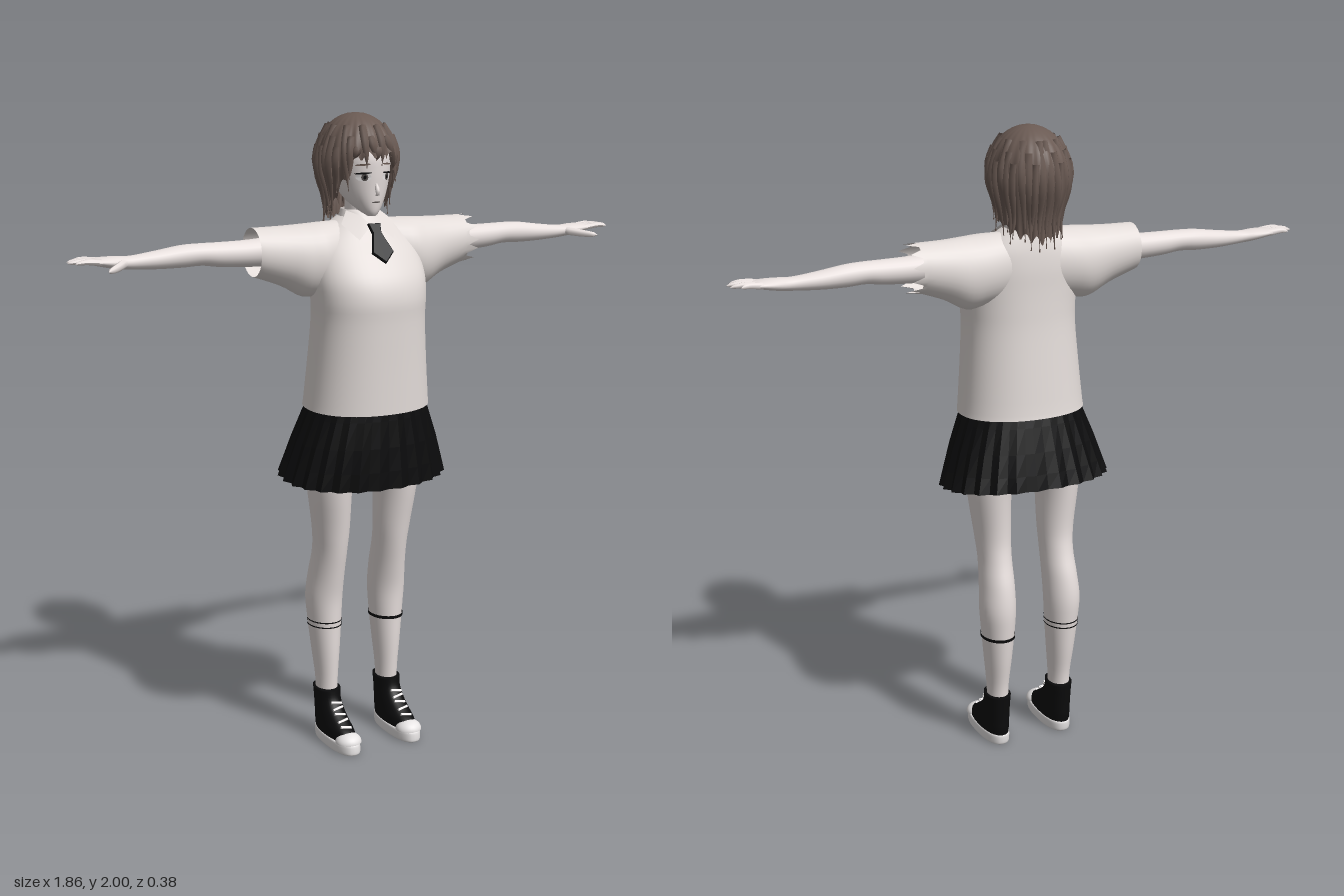
import * as THREE from 'three';

const mat = (name, color, side = THREE.FrontSide) => {
  const m = new THREE.MeshStandardMaterial({ color, side });
  m.name = name;
  return m;
};
const skin = mat('skin', 0xe6dedc);
const cloth = mat('shirt cloth', 0xe2dbd8, THREE.DoubleSide);
const hairMat = mat('brown hair', 0x6a5a53, THREE.DoubleSide);
const black = mat('black cloth', 0x0b0b0c, THREE.DoubleSide);
const white = mat('white', 0xf0eded, THREE.DoubleSide);
const grey = mat('iris grey', 0x5c5654);

// Smooth interpolation through section rows, t in 0..1
function sample(rows, t) {
  const f = t * (rows.length - 1), i = Math.min(Math.floor(f), rows.length - 2), u = f - i;
  const at = k => rows[Math.max(0, Math.min(rows.length - 1, k))];
  const [a, b, c, d] = [at(i - 1), at(i), at(i + 1), at(i + 2)];
  return b.map((_, k) => 0.5 * (2 * b[k] + (c[k] - a[k]) * u
    + (2 * a[k] - 5 * b[k] + 4 * c[k] - d[k]) * u * u
    + (3 * b[k] - a[k] - 3 * c[k] + d[k]) * u * u * u));
}

// Skin over oval sections [position along axis, centre, half width, front z, back z]
function loft(rows, { axis = 'y', side = 1, n = 32, sub = 4, p = 2, cap = true, mod } = {}) {
  const steps = (rows.length - 1) * sub, pos = [], idx = [];
  const pw = v => Math.sign(v) * Math.pow(Math.abs(v), 2 / p);
  const flip = (axis === 'x') !== (side < 0);
  const tri = (a, b, c) => (flip ? idx.push(a, c, b) : idx.push(a, b, c));
  for (let i = 0; i <= steps; i++) {
    const [t, c, r, zf, zb] = sample(rows, i / steps);
    for (let j = 0; j < n; j++) {
      const a = j / n * Math.PI * 2, u = c + r * pw(Math.sin(a));
      const z = (zf + zb) / 2 + (zf - zb) / 2 * pw(Math.cos(a));
      const v = axis === 'y' ? new THREE.Vector3(u, t, z) : new THREE.Vector3(t, u, z);
      if (mod) mod(v, j, i / steps);
      pos.push(v.x * side, v.y, v.z);
    }
  }
  for (let i = 0; i < steps; i++) for (let j = 0; j < n; j++) {
    const k = (j + 1) % n, a = i * n + j, b = i * n + k;
    tri(a, b, b + n); tri(a, b + n, a + n);
  }
  if (cap) for (const [row, i] of [[rows[0], 0], [rows[rows.length - 1], steps]]) {
    const c = pos.length / 3, z = (row[3] + row[4]) / 2;
    if (axis === 'y') pos.push(row[1] * side, row[0], z); else pos.push(row[0] * side, row[1], z);
    for (let j = 0; j < n; j++) {
      const a = i * n + j, b = i * n + (j + 1) % n;
      if (i) tri(a, b, c); else tri(b, a, c);
    }
  }
  return surface(pos, idx);
}
function surface(pos, idx) {
  const g = new THREE.BufferGeometry();
  g.setAttribute('position', new THREE.Float32BufferAttribute(pos, 3));
  g.setIndex(idx);
  g.computeVertexNormals();
  return g;
}

// Tube whose radius follows f(t)
function strand(points, r, f, seg = 8, sides = 7) {
  const curve = new THREE.CatmullRomCurve3(points.map(q => new THREE.Vector3(...q)));
  const g = new THREE.TubeGeometry(curve, seg, r, sides), P = g.attributes.position, v = new THREE.Vector3();
  for (let i = 0; i < P.count; i++) {
    const t = Math.floor(i / (sides + 1)) / seg, c = curve.getPointAt(t);
    v.fromBufferAttribute(P, i).sub(c).multiplyScalar(f(t)).add(c);
    P.setXYZ(i, v.x, v.y, v.z);
  }
  g.computeVertexNormals();
  return g;
}

const HEAD = [[1.695, 0, .012, .074, .045], [1.71, 0, .03, .082, .005], [1.74, 0, .055, .087, -.06],
  [1.78, 0, .074, .09, -.1], [1.83, 0, .085, .093, -.12], [1.88, 0, .088, .09, -.13],
  [1.94, 0, .075, .06, -.11], [1.97, 0, .03, .0, -.06]];
function faceZ(x, y) {
  let i = 0;
  while (i < HEAD.length - 2 && HEAD[i + 1][0] < y) i++;
  const u = (y - HEAD[i][0]) / (HEAD[i + 1][0] - HEAD[i][0]);
  const [, , r, zf, zb] = HEAD[i].map((q, k) => q + (HEAD[i + 1][k] - q) * u);
  return (zf + zb) / 2 + (zf - zb) / 2 * Math.sqrt(Math.max(0, 1 - (x / r) ** 2));
}

// Hair surface around the head; a = 0 is the front
function hairPoint(a, y, out = 1) {
  const s = (y > 1.86 ? Math.sqrt(Math.max(0, 1 - ((y - 1.86) / .137) ** 2))
    : 1 - .24 * THREE.MathUtils.smoothstep(1.86 - y, 0, .17)) * out;
  return [Math.sin(a) * .119 * s, y, -.04 + Math.cos(a) * .138 * s];
}
const HAIR_END = [[0, 1.875], [33, 1.865], [40, 1.82], [62, 1.76], [78, 1.71], [120, 1.685], [181, 1.66]];
function hairEnd(a) {
  const d = Math.abs(THREE.MathUtils.radToDeg(a));
  const i = HAIR_END.findIndex(e => e[0] > d), [d0, y0] = HAIR_END[i - 1], [d1, y1] = HAIR_END[i];
  return y0 + (y1 - y0) * (d - d0) / (d1 - d0);
}

export function createModel() {
  const model = new THREE.Group();
  const add = (name, geo, m, parent = model) => {
    const mesh = new THREE.Mesh(geo, m);
    mesh.name = name;
    parent.add(mesh);
    return mesh;
  };

  // Shirt body
  add('shirtBody', loft([[1.105, 0, .2, .183, -.14], [1.25, 0, .187, .184, -.125], [1.38, 0, .178, .186, -.112],
    [1.45, 0, .18, .188, -.108], [1.51, 0, .182, .172, -.106], [1.57, 0, .175, .133, -.105],
    [1.62, 0, .155, .093, -.1], [1.66, 0, .115, .064, -.092], [1.69, 0, .065, .045, -.085]],
  { n: 48, p: 2.2, cap: false, mod: (v, j, t) => { if (t === 0) v.y += .012 * (.18 - v.z) / .32; } }), cloth);

  // Pleated skirt with a hem that rises at the back
  const skirt = loft([[.87, 0, .268, .182, -.19], [1, 0, .232, .178, -.158], [1.15, 0, .178, .168, -.118]],
    { n: 52, sub: 2, p: 2.2, cap: false, mod: (v, j, t) => {
      const k = 1 + (j % 2 ? .025 : -.025) * (1.1 - t);
      v.x *= k; v.z *= k;
      v.y += (1 - t) * .035 * (.18 - v.z) / .37;
    } }).toNonIndexed();
  skirt.computeVertexNormals();
  add('skirt', skirt, black);
  add('shorts', loft([[.99, 0, .14, .09, -.1], [1.05, 0, .165, .12, -.11], [1.13, 0, .17, .13, -.11]]), black);

  // Neck, head, nose, mouth
  add('neck', loft([[1.62, 0, .055, .03, -.085], [1.69, 0, .042, .026, -.07], [1.78, 0, .042, .03, -.075]]), skin);
  add('head', loft(HEAD), skin);
  add('nose', strand([[0, 1.795, .088], [0, 1.775, .097], [0, 1.764, .099], [0, 1.758, .088]], .007,
    t => .3 + .7 * Math.sin(Math.PI * t)), skin);
  const patch = (name, x, y, w, h, lift, m, tilt = 0) => {
    const g = new THREE.CircleGeometry(1, 16), P = g.attributes.position;
    for (let i = 0; i < P.count; i++) {
      const px = x + P.getX(i) * w, py = y + P.getY(i) * h + P.getX(i) * tilt;
      P.setXYZ(i, px, py, faceZ(px, py) + lift);
    }
    g.computeVertexNormals();
    add(name, g, m);
  };
  patch('mouth', 0, 1.738, .014, .0022, .003, grey);
  for (const s of [1, -1]) {
    patch('eyeWhite', s * .038, 1.813, .02, .012, .003, white);
    patch('iris', s * .037, 1.813, .009, .011, .005, grey);
    patch('pupil', s * .037, 1.813, .004, .006, .006, black);
    patch('upperLash', s * .04, 1.825, .022, .003, .006, black, s * -.002);
    patch('eyebrow', s * .04, 1.85, .02, .003, .004, hairMat, s * -.002);
  }

  // Hair: ribbed shell with jagged ends
  const N = 144, R = 16, pos = [], idx = [];
  for (let i = 0; i <= R; i++) for (let j = 0; j < N; j++) {
    const a = (j / N * 2 - 1) * Math.PI, t = i / R;
    const end = hairEnd(a) + .028 * Math.abs(Math.sin(a * 9 + .6)) - .01;
    const y = 1.997 - (1.997 - end) * Math.pow(t, 1.6);
    pos.push(...hairPoint(a, y, 1 + t * .03 * Math.sin(a * 24 + t * 3)));
    if (i < R) {
      const b = i * N + j, c = i * N + (j + 1) % N;
      idx.push(b, b + N, c + N, b, c + N, c);
    }
  }
  add('hairShell', surface(pos, idx), hairMat);

  // Loose locks over the shell, flicking out at the tips
  const locks = new THREE.Group();
  locks.name = 'hairLocks';
  model.add(locks);
  for (let k = 0; k < 34; k++) {
    const a = (k / 34 * 2 - 1) * Math.PI + .05, low = Math.abs(a) > .65;
    const end = hairEnd(a) - .014 + .016 * Math.sin(k * 2.4), top = 1.96 - .03 * (k % 3);
    const pts = [0, .35, .7, 1].map(t => hairPoint(a + .12 * t * Math.sin(k * 1.7), top + (end - top) * t,
      .98 + (t === 1 && low ? .09 + .06 * Math.sin(k * 3.1) : 0)));
    add('lock', strand(pts, .014, t => .25 + .75 * Math.sin(Math.PI * Math.min(1, t * .62 + .3)) - .6 * t ** 3, 10, 6), hairMat, locks);
  }

  // Collar flaps and tie
  for (const s of [1, -1]) {
    add('collarFlap', surface([.008 * s, 1.668, .073, .058 * s, 1.628, .092, .09 * s, 1.672, .035,
      .055 * s, 1.708, .0, .03 * s, 1.695, .045], [0, 1, 4, 1, 2, 4, 2, 3, 4].map((v, i, arr) =>
      s > 0 ? v : arr[i - i % 3 + 2 - i % 3])), cloth);
  }
  add('collarBand', loft([[1.665, 0, .07, .05, -.085], [1.7, 0, .058, .03, -.08], [1.71, 0, .055, .02, -.078]],
    { cap: false }), cloth);
  const tieShape = new THREE.Shape([[-.018, 0], [.018, 0], [.012, -.03], [.033, -.095], [0, -.128], [-.033, -.095], [-.012, -.03]]
    .map(q => new THREE.Vector2(...q)));
  const tie = add('tie', new THREE.ExtrudeGeometry(tieShape, { depth: .006, bevelEnabled: true, bevelSize: .003, bevelThickness: .003, bevelSegments: 1 }), black);
  tie.position.set(0, 1.668, .072);
  tie.rotation.x = -.62;

  for (const s of [1, -1]) {
    const tag = s > 0 ? 'left' : 'right';
    // Sleeve; the left cuff is torn
    add(tag + 'Sleeve', loft([[.04, 1.58, .1, .05, -.09], [.14, 1.57, .108, .08, -.1], [.2, 1.565, .11, .075, -.1],
      [.27, 1.582, .09, .06, -.097], [.36, 1.598, .073, .05, -.09]],
    { axis: 'x', side: s, cap: false, mod: (v, j, t) => { if (t === 1 && s > 0) v.x += j % 3 ? -.004 : .03; } }), cloth);
    // Arm and palm
    add(tag + 'Arm', loft([[.2, 1.6, .05, .025, -.065], [.36, 1.596, .041, .017, -.067], [.46, 1.598, .037, .01, -.066],
      [.52, 1.602, .033, .006, -.067], [.58, 1.6, .033, .001, -.07], [.66, 1.595, .027, -.004, -.066],
      [.74, 1.593, .02, -.008, -.058], [.79, 1.597, .018, .0, -.068], [.84, 1.602, .012, .002, -.073],
      [.86, 1.603, .007, -.003, -.068]], { axis: 'x', side: s, n: 24 }), skin);
    const round = t => Math.sqrt(Math.max(0, 1 - t ** 6)) * (1 - .3 * t);
    [[-.062, -.074, .9], [-.044, -.05, .925], [-.026, -.026, .93], [-.008, -.002, .915]].forEach(([z0, z1, x]) =>
      add(tag + 'Finger', strand([[s * .835, 1.602, z0], [s * .88, 1.607, (z0 + z1) / 2], [s * x, 1.604, z1]], .01, round), skin));
    add(tag + 'Thumb', strand([[s * .765, 1.594, -.015], [s * .8, 1.588, .022], [s * .838, 1.584, .06]], .0135, round), skin);

    // Leg with sock stripes
    add(tag + 'Leg', loft([[.12, .11, .034, 0, -.08], [.2, .11, .034, .005, -.083], [.3, .111, .043, .012, -.1],
      [.4, .112, .052, .015, -.112], [.48, .113, .057, .02, -.118], [.56, .11, .054, .035, -.108],
      [.64, .108, .052, .052, -.085], [.72, .11, .057, .067, -.076], [.88, .117, .068, .095, -.09],
      [1.02, .1, .08, .1, -.105]], { side: s }), skin);
    for (const [y, h] of s > 0 ? [[.383, .005]] : [[.402, .002], [.386, .002]])
      add(tag + 'SockStripe', loft([[y - h, .112, .0535, .0175, -.1135], [y + h, .112, .0535, .0175, -.1135]],
        { side: s, sub: 1, cap: false }), black);

    // High-top shoe
    add(tag + 'Sole', loft([[0, .11, .041, .153, -.078], [.006, .11, .045, .158, -.084], [.03, .11, .045, .156, -.086],
      [.036, .11, .041, .15, -.082]], { side: s, p: 2.4 }), white);
    add(tag + 'ShoeUpper', loft([[.03, .11, .042, .14, -.083], [.06, .11, .042, .12, -.087], [.08, .11, .04, .085, -.087],
      [.11, .11, .038, .045, -.088], [.14, .11, .037, .022, -.09], [.172, .11, .039, .016, -.092]], { side: s, p: 2.3 }), black);
    const toe = add(tag + 'ToeCap', new THREE.SphereGeometry(1, 24, 12, 0, Math.PI * 2, 0, Math.PI / 2), white);
    toe.scale.set(.042, .03, .042);
    toe.position.set(s * .11, .033, .112);
    for (let k = 0; k < 5; k++) {
      const lace = add(tag + 'Lace', new THREE.BoxGeometry(.036, .007, .008), white);
      lace.position.set(s * .11, .074 + k * .015, [.096, .075, .055, .041, .031][k]);
      lace.rotation.set(-.7, 0, k % 2 ? .2 : -.2);
    }
  }
  return model;
}
